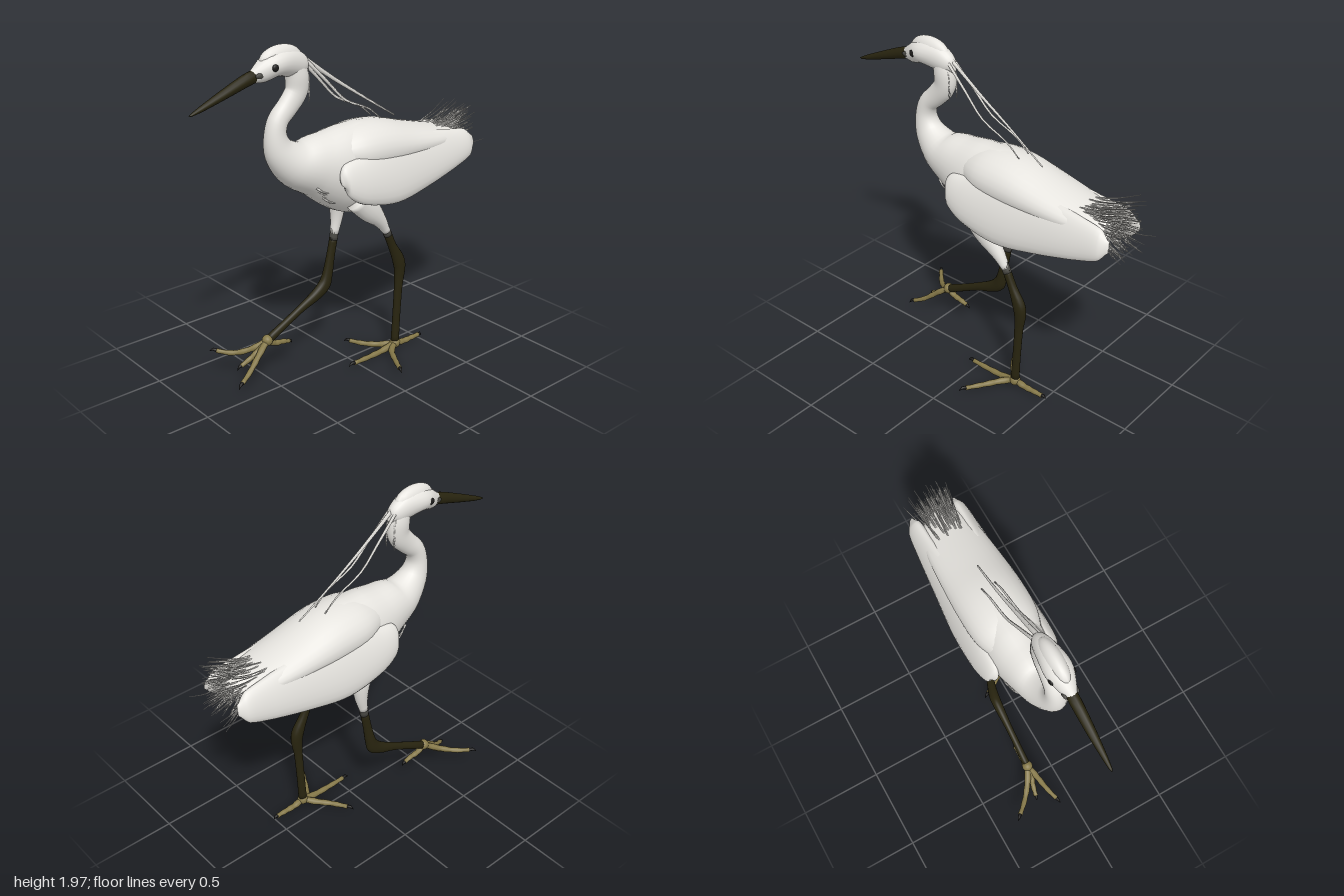
import * as THREE from 'three';

const V = (x, y, z) => new THREE.Vector3(x, y, z);
const CX = -0.022; // body midline
const mat = (name, color) => Object.assign(new THREE.MeshStandardMaterial({ color }), { name });

// Smooth solid through stations [x, y, z, sideRadius, upRadius]
function loft(stations, { sides = 12, steps = 4, ref = V(1, 0, 0), roll = 0 } = {}) {
  const path = new THREE.CatmullRomCurve3(stations.map(s => V(s[0], s[1], s[2])));
  const n = (stations.length - 1) * steps;
  const pos = [], idx = [];
  for (let i = 0; i <= n; i++) {
    const t = i / n, c = path.getPoint(t), T = path.getTangent(t);
    const k = Math.min(Math.floor(i / steps), stations.length - 2), f = i / steps - k;
    const at = (j, m) => stations[Math.min(Math.max(j, 0), stations.length - 1)][m];
    // Radii follow the same spline, never below a hair's width
    const rad = m => Math.max(0.0008, catmull(at(k - 1, m), at(k, m), at(k + 1, m), at(k + 2, m), f));
    const S = ref.clone().addScaledVector(T, -ref.dot(T)).normalize().applyAxisAngle(T, roll);
    const U = T.clone().cross(S);
    for (let j = 0; j < sides; j++) {
      const a = j / sides * Math.PI * 2;
      const p = c.clone().addScaledVector(S, Math.cos(a) * rad(3)).addScaledVector(U, Math.sin(a) * rad(4));
      pos.push(p.x, p.y, p.z);
    }
  }
  for (let i = 0; i < n; i++) for (let j = 0; j < sides; j++) {
    const a = i * sides + j, b = i * sides + (j + 1) % sides, c = a + sides, d = b + sides;
    idx.push(a, b, c, b, d, c);
  }
  // End caps
  const first = stations[0], last = stations[stations.length - 1], e = pos.length / 3;
  pos.push(...first.slice(0, 3), ...last.slice(0, 3));
  for (let j = 0; j < sides; j++) {
    const k = (j + 1) % sides;
    idx.push(e, k, j, e + 1, n * sides + j, n * sides + k);
  }
  const g = new THREE.BufferGeometry();
  g.setAttribute('position', new THREE.Float32BufferAttribute(pos, 3));
  g.setIndex(idx);
  g.computeVertexNormals();
  return g;
}

function catmull(a, b, c, d, t) {
  const v0 = (c - a) / 2, v1 = (d - b) / 2;
  return (2 * b - 2 * c + v0 + v1) * t ** 3 + (-3 * b + 3 * c - 2 * v0 - v1) * t * t + v0 * t + b;
}

export function createModel() {
  const white = mat('whitePlumage', 0xe6e4df);
  const dark = mat('darkLegAndBeak', 0x28240f);
  const olive = mat('oliveToes', 0x857848);
  const grey = mat('greySkin', 0x4a4944);
  const black = mat('eyeBlack', 0x1c1b1a);
  const model = new THREE.Group();
  model.name = 'wadingBird';
  const add = (name, geo, m, parent = model) => {
    const mesh = new THREE.Mesh(geo, m);
    mesh.name = name;
    parent.add(mesh);
    return mesh;
  };
  const group = name => {
    const g = new THREE.Group();
    g.name = name;
    model.add(g);
    return g;
  };
  let seed = 7;
  const rnd = (a, b) => {
    seed = (seed * 16807) % 2147483647;
    return a + (b - a) * seed / 2147483647;
  };
  const mid = list => list.map(([z, y, rs, ru]) => [CX, y, z, rs, ru]);

  // Neck flowing into the body
  add('neckAndBody', loft(mid([
    [.36, 1.87, .045, .06], [.332, 1.79, .055, .068], [.335, 1.71, .051, .068], [.395, 1.635, .05, .062],
    [.46, 1.57, .054, .058], [.48, 1.49, .06, .064], [.455, 1.4, .08, .09], [.36, 1.31, .118, .128],
    [.22, 1.27, .15, .182], [.1, 1.238, .172, .232], [-.04, 1.205, .185, .266], [-.2, 1.19, .188, .262],
    [-.4, 1.205, .175, .195], [-.6, 1.23, .145, .122], [-.76, 1.26, .105, .065], [-.84, 1.265, .06, .025],
  ]), { sides: 28 }), white);

  // Broad back joining the wing tops
  add('mantle', loft(mid([
    [.16, 1.31, .05, .04], [.11, 1.315, .135, .1], [-.02, 1.31, .19, .15], [-.2, 1.3, .2, .157],
    [-.42, 1.28, .19, .118], [-.62, 1.265, .172, .082], [-.76, 1.26, .14, .055], [-.82, 1.255, .09, .02],
  ]), { sides: 28 }), white);

  // Head with a narrow crown
  add('head', loft(mid([
    [.63, 1.822, .022, .03], [.56, 1.843, .052, .056], [.48, 1.874, .074, .068],
    [.38, 1.868, .062, .075], [.3, 1.836, .044, .058], [.26, 1.81, .012, .015],
  ]), { sides: 20, steps: 5 }), white);
  const crown = add('crown', new THREE.SphereGeometry(1, 20, 14), white);
  crown.scale.set(.05, .078, .135);
  crown.position.set(CX, 1.892, .435);

  // Beak, lores and eyes
  add('beak', loft(mid([
    [.585, 1.835, .03, .034], [.65, 1.818, .031, .034], [.8, 1.765, .025, .025], [.93, 1.718, .015, .015],
    [.985, 1.699, .008, .007], [1, 1.694, .002, .002],
  ])), dark);
  for (const s of [-1, 1]) {
    const eye = add(s > 0 ? 'leftEye' : 'rightEye', new THREE.SphereGeometry(.02, 14, 10), black);
    eye.position.set(CX + s * .062, 1.87, .512);
    eye.scale.set(.6, 1, 1.1);
    const lore = add(s > 0 ? 'leftLore' : 'rightLore', new THREE.SphereGeometry(.022, 10, 8), grey);
    lore.position.set(CX + s * .034, 1.836, .588);
    lore.scale.set(.5, .7, 1.4);
  }

  // Folded wings, leaning in at the top
  for (const s of [-1, 1]) {
    const w = [
      [.18, 1.21, .18, .008, .025], [.145, 1.215, .182, .035, .085], [.02, 1.19, .178, .054, .145],
      [-.2, 1.185, .165, .06, .187], [-.45, 1.195, .152, .053, .165], [-.68, 1.205, .148, .042, .122],
      [-.83, 1.215, .143, .034, .085], [-.885, 1.22, .14, .008, .03],
    ].map(([z, y, x, rs, ru]) => [CX + s * x, y, z, rs, ru]);
    add(s > 0 ? 'leftWing' : 'rightWing', loft(w, { sides: 22, steps: 5, roll: -s * .28 }), white);
  }

  // Thin feather strand through points
  const strand = (parent, pts, r, name = 'strand') => add(name, loft(
    pts.map((p, i) => [...p, ...Array(2).fill(r * (1 - .65 * i / (pts.length - 1)))]),
    { sides: 4, steps: 3 }), white, parent);

  // Tail tuft, with longer strands along the top
  const tail = group('tailTuft');
  for (let i = 0; i < 150; i++) {
    const u = rnd(-1, 1), v = rnd(0, 1);
    const x0 = CX + u * .075, x1 = CX + u * .1 + rnd(-.03, .03), y1 = 1.09 + v * .33, z1 = rnd(-.95, -.86);
    const y0 = 1.2 + v * .13, z0 = -.78 + v * v * rnd(.08, .22);
    strand(tail, [[x0, y0, z0], [(x0 + x1) / 2, (y0 + y1) / 2 - .012, (z0 + z1) / 2], [x1, y1, z1]], .005);
  }
  for (const s of [-1, 1])
    strand(tail, [[CX + s * .09, 1.22, -.8], [CX + s * .11, 1.19, -.9], [CX + s * .135, 1.2, -.99]], .005);

  // Long head plumes
  const plumes = group('headPlumes');
  strand(plumes, [[CX, 1.88, .29], [CX, 1.73, .08], [CX, 1.6, -.12], [CX + .01, 1.445, -.36]], .014, 'longPlume');
  for (const s of [-1, 1])
    strand(plumes, [[CX + s * .025, 1.86, .28], [CX + s * .033, 1.73, .15], [CX + s * .038, 1.61, .03],
      [CX + s * .04, 1.53, -.14], [CX + s * .04, 1.46, -.225]], .011, 'sidePlume');

  // Loose feathers on nape and breast
  const loose = group('looseFeathers');
  for (const s of [-1, 1]) {
    for (let i = 0; i < 4; i++)
      strand(loose, [[CX + s * .025, 1.82 - i * .03, .283], [CX + s * .03, 1.77 - i * .03, .272], [CX + s * .03, 1.73 - i * .03, .278]], .007);
    for (let i = 0; i < 9; i++) {
      const x = CX + s * rnd(.06, .12), y = rnd(1.1, 1.2), z = .25 + (y - 1.13) * .8;
      strand(loose, [[x, y, z], [x + s * .01, y - .03, z - .035], [x + s * .01, y - .05, z - .09]], .007);
    }
  }

  // Legs: feathered thigh, skin band, dark shank
  const leg = (name, thigh, band, shank) => {
    const g = group(name);
    add('thigh', loft(thigh, { sides: 16 }), white, g);
    add('skinBand', loft(band), grey, g);
    add('shank', loft(shank, { sides: 14 }), dark, g);
    return g;
  };
  const left = leg('leftLeg',
    [[.1, 1.06, .02, .06, .075], [.105, .97, -.07, .053, .07], [.104, .88, -.155, .037, .042], [.1, .8, -.21, .024, .025]],
    [[.1, .83, -.195, .024, .025], [.1, .775, -.222, .025, .026]],
    [[.1, .79, -.215, .024, .025], [.1, .69, -.26, .024, .027], [.102, .595, -.306, .03, .04], [.102, .54, -.318, .029, .038],
      [.102, .42, -.31, .023, .027], [.102, .2, -.297, .022, .025], [.102, .06, -.29, .024, .026]]);
  const right = leg('rightLeg',
    [[-.145, 1.07, -.02, .055, .07], [-.15, .96, -.045, .05, .055], [-.152, .86, -.045, .036, .04], [-.15, .76, -.025, .024, .027]],
    [[-.15, .79, -.03, .024, .028], [-.15, .72, -.018, .024, .027]],
    [[-.15, .735, -.02, .023, .026], [-.152, .62, .003, .023, .027], [-.154, .5, .028, .028, .034], [-.155, .445, .05, .03, .042],
      [-.156, .4, .11, .028, .036], [-.158, .35, .215, .022, .026], [-.16, .29, .33, .021, .024], [-.163, .22, .465, .023, .026]]);

  // Toes with knuckles and a dark claw
  const toe = (g, pts, r = .019) => {
    const curve = new THREE.CatmullRomCurve3(pts.map(p => V(...p)));
    const st = [], n = 8;
    for (let i = 0; i <= n; i++) {
      const p = curve.getPointAt(i / n * .88), k = r * (1.2 - .055 * i) * (i % 2 ? .85 : 1);
      st.push([p.x, p.y, p.z, k, k]);
    }
    const opt = { sides: 8, steps: 2, ref: V(0, 1, 0) };
    add('toe', loft(st, opt), olive, g);
    const a = curve.getPointAt(.86), b = curve.getPointAt(.94), c = curve.getPointAt(1);
    add('claw', loft([[a.x, a.y, a.z, .01, .01], [b.x, b.y + .004, b.z, .009, .009],
      [c.x, c.y - .012, c.z, .001, .001]], opt), black, g);
  };
  const foot = (g, hub, toes) => {
    const knob = add('ankle', new THREE.SphereGeometry(.033, 12, 10), olive, g);
    knob.position.set(...hub);
    toes.forEach(t => toe(g, [hub, ...t]));
  };
  foot(left, [.102, .045, -.29], [
    [[.14, .03, -.23], [.25, .03, -.16], [.375, .04, -.09]],
    [[.05, .03, -.24], [-.03, .025, -.17], [-.15, .03, -.1]],
    [[.1, .025, -.2], [.1, .02, -.08], [.1, .022, .075]],
    [[.1, .03, -.36], [.1, .03, -.43], [.1, .03, -.515]],
  ]);
  foot(right, [-.163, .22, .47], [
    [[-.2, .18, .54], [-.27, .15, .63], [-.375, .165, .73]],
    [[-.17, .17, .53], [-.185, .125, .59], [-.2, .085, .66]],
    [[-.14, .17, .54], [-.11, .09, .64], [-.075, .045, .74]],
    [[-.163, .185, .42], [-.16, .175, .36], [-.16, .155, .295]],
  ]);
  return model;
}
